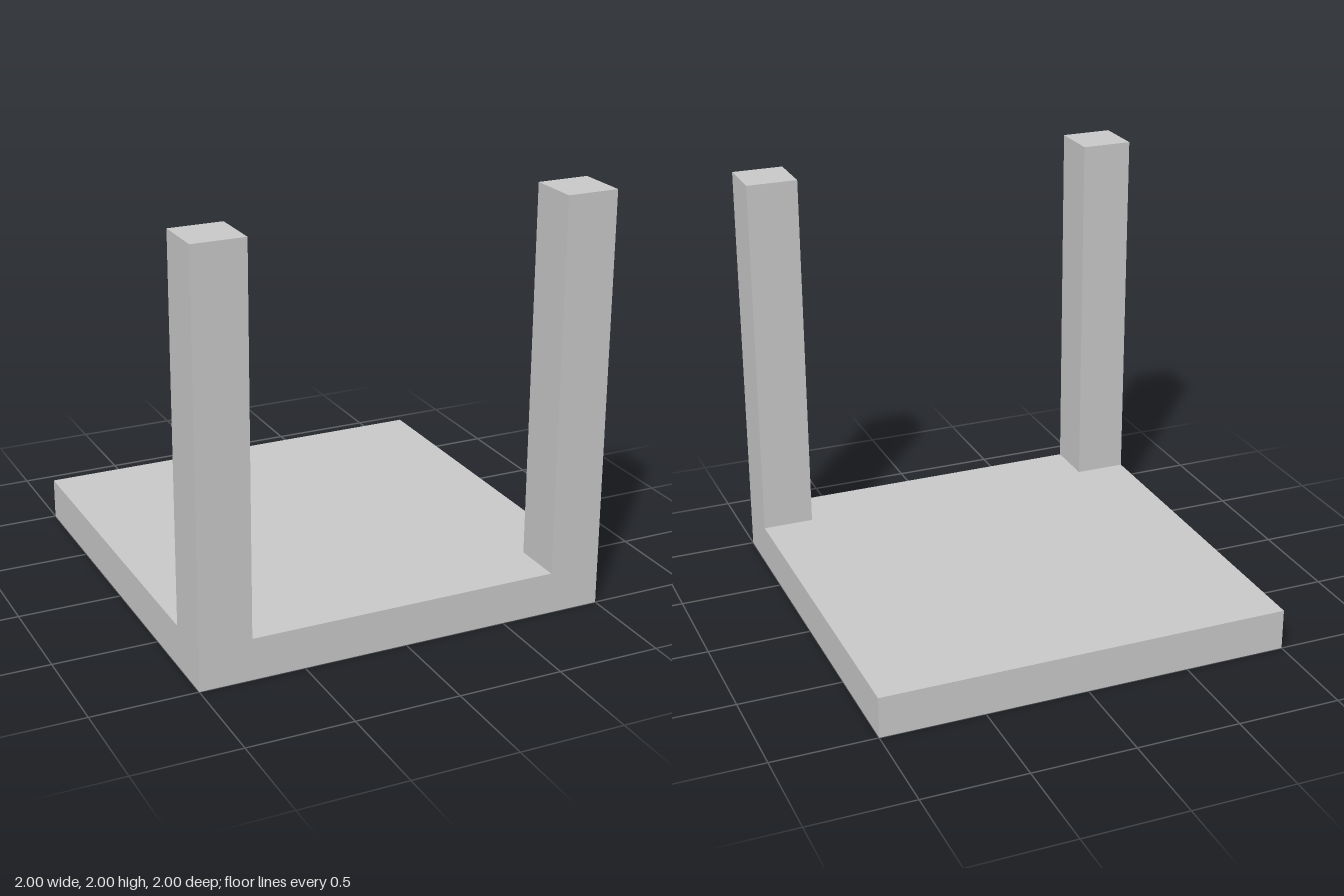
import * as THREE from 'three';

const SIZE = 2;     // width, depth and overall height
const BASE = 0.2;   // slab thickness
const POST = 0.25;  // post side length

export function createModel() {
  const group = new THREE.Group();
  const material = new THREE.MeshStandardMaterial({ color: 0xcccccc, flatShading: true });

  const addBox = (name, w, h, d, x, y, z) => {
    const mesh = new THREE.Mesh(new THREE.BoxGeometry(w, h, d), material);
    mesh.name = name;
    mesh.position.set(x, y, z);
    group.add(mesh);
  };

  // Square slab lying on the ground
  addBox('baseSlab', SIZE, BASE, SIZE, 0, BASE / 2, 0);

  // Two posts standing flush on the front corners
  const postHeight = SIZE - BASE;
  const offset = (SIZE - POST) / 2;
  for (const [name, side] of [['leftPost', 1], ['rightPost', -1]]) {
    addBox(name, POST, postHeight, POST, side * offset, BASE + postHeight / 2, offset);
  }

  return group;
}
